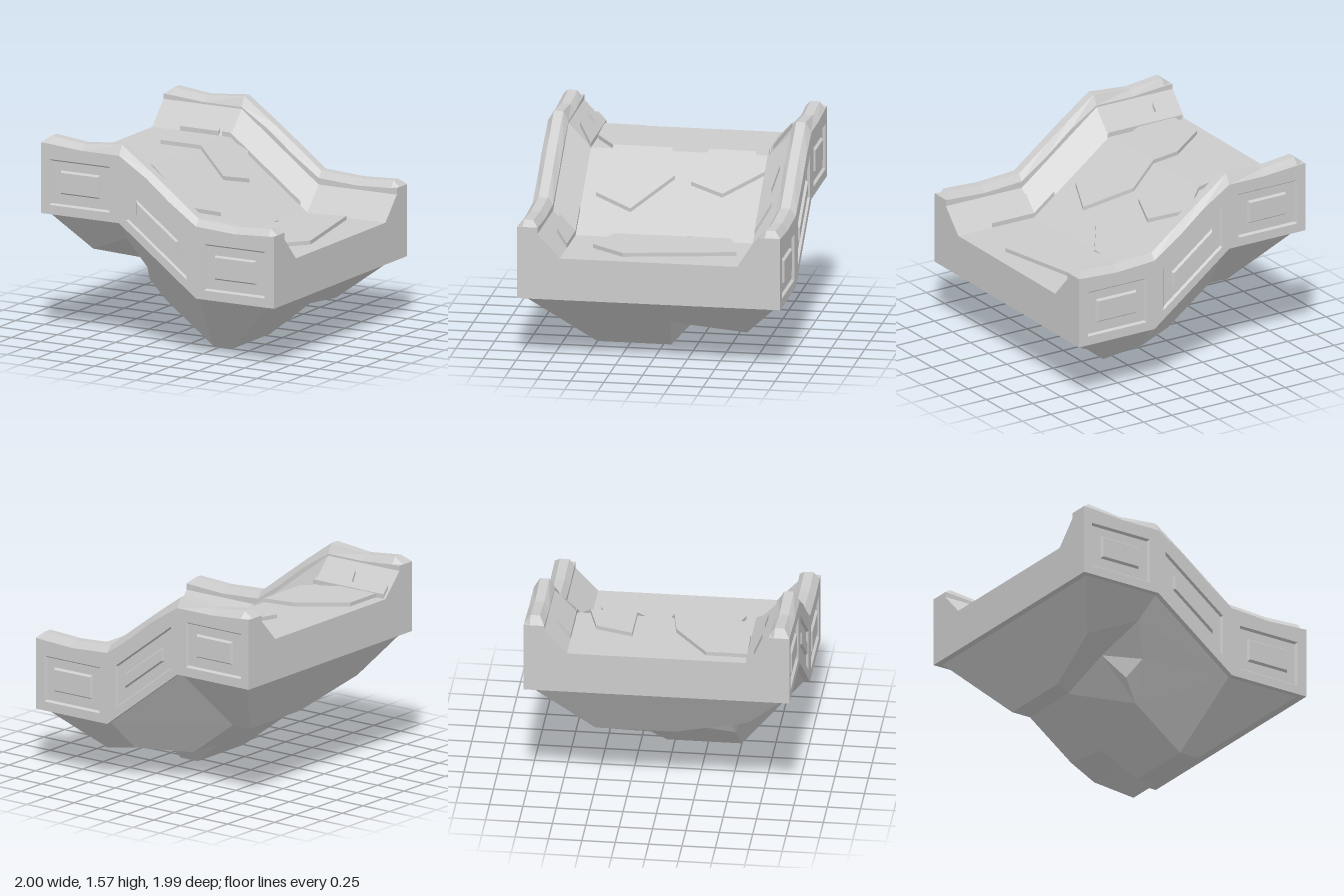
import * as THREE from 'three';

const material = new THREE.MeshStandardMaterial({ color: 0xcccccc, flatShading: true, side: THREE.DoubleSide });
const V = (x, y, z) => new THREE.Vector3(x, y, z);
const W = 0.995; // half depth

// Height of the underside: high level, ramp, low level
const base = x => 0.98 - 0.5 * THREE.MathUtils.clamp((x + 0.33) / 0.66, 0, 1);
// Walking surface, including the sloped curbs along both sides
const surface = (x, z) => base(x) + 0.32 + Math.max(0, Math.abs(z) - 0.67) * 1.06;

function meshOf(name, geometry) {
  const mesh = new THREE.Mesh(geometry, material);
  mesh.name = name;
  return mesh;
}

function fromTriangles(name, points) {
  const g = new THREE.BufferGeometry().setFromPoints(points);
  g.computeVertexNormals();
  return meshOf(name, g);
}

const quad = (out, a, b, c, d) => out.push(a, b, c, a, c, d);

// Fill a flat polygon, with every triangle turned away from the centre
const centre = V(-0.05, 0.62, 0);
function fill(out, pts) {
  const n = V(0, 0, 0);
  pts.forEach((p, i) => n.add(p.clone().cross(pts[(i + 1) % pts.length])));
  const ax = Math.abs(n.x), ay = Math.abs(n.y), az = Math.abs(n.z);
  const flat = pts.map(p => ax > ay && ax > az ? new THREE.Vector2(p.y, p.z)
    : ay > az ? new THREE.Vector2(p.x, p.z) : new THREE.Vector2(p.x, p.y));
  for (const [i, j, k] of THREE.ShapeUtils.triangulateShape(flat, [])) {
    const a = pts[i], b = pts[j], c = pts[k];
    const tn = b.clone().sub(a).cross(c.clone().sub(a));
    if (tn.dot(a.clone().sub(centre)) < 0) out.push(a, c, b);
    else out.push(a, b, c);
  }
}

// Stations along x: position, parapet shoulder height, parapet ridge height
const stations = [
  [-1, 1.52, 1.52], [-0.93, 1.517, 1.57], [-0.65, 1.495, 1.54], [-0.33, 1.495, 1.57], [-0.1, 1.35, 1.405],
  [0.1, 1.19, 1.255], [0.33, 1.03, 1.08], [0.66, 1.01, 1.06], [0.95, 1.025, 1.075], [1, 1.03, 1.03],
];

// Floor, curbs, parapets, underside and end faces
function deck() {
  const rings = stations.map(([x, e, t]) => {
    const b = base(x);
    const half = [[W, e], [0.95, t], [0.88, t], [0.84, e], [0.84, b + 0.5], [0.67, b + 0.32]];
    const other = half.map(([z, y]) => [-z, y]).reverse();
    return [...half, ...other, [-W, b], [W, b]].map(([z, y]) => V(x, y, z));
  });
  const out = [];
  for (let i = 0; i < rings.length - 1; i++) {
    for (let j = 0; j < 14; j++) {
      if (j === 11 || j === 13) continue; // side walls are separate
      const k = (j + 1) % 14;
      quad(out, rings[i][j], rings[i + 1][j], rings[i + 1][k], rings[i][k]);
    }
  }
  fill(out, rings[0]);
  fill(out, rings[rings.length - 1]);
  return fromTriangles('deck', out);
}

// Panels: x range, then heights above the underside (outer frame, inner block)
const panels = [
  { outer: [-0.93, -0.41, 0.07, 0.42], inner: [-0.84, -0.5, 0.16, 0.34] },
  { outer: [-0.27, 0.25, 0.075, 0.405], inner: [-0.19, 0.17, 0.18, 0.295] },
  { outer: [0.4, 0.92, 0.07, 0.425], inner: [0.48, 0.84, 0.16, 0.345] },
];
const corners = ([x0, x1, lo, hi], inset, z) => [
  V(x0 + inset, base(x0 + inset) + lo + inset, z), V(x1 - inset, base(x1 - inset) + lo + inset, z),
  V(x1 - inset, base(x1 - inset) + hi - inset, z), V(x0 + inset, base(x0 + inset) + hi - inset, z),
];

// Side wall with three sunken frames around raised blocks
function sideWall() {
  const group = new THREE.Group();
  const shape = new THREE.Shape([
    ...[-1, -0.33, 0.33, 1].map(x => new THREE.Vector2(x, base(x))),
    ...stations.map(([x, e]) => new THREE.Vector2(x, e)).reverse(),
  ]);
  const out = [];
  for (const { outer, inner } of panels) {
    const loops = [corners(outer, 0, W), corners(outer, 0.013, W - 0.02),
      corners(inner, 0, W - 0.02), corners(inner, 0.013, W)];
    shape.holes.push(new THREE.Path(loops[0].map(p => new THREE.Vector2(p.x, p.y))));
    for (let k = 0; k < 3; k++) {
      for (let j = 0; j < 4; j++) {
        const n = (j + 1) % 4;
        quad(out, loops[k][j], loops[k][n], loops[k + 1][n], loops[k + 1][j]);
      }
    }
    quad(out, ...loops[3]);
  }
  const wall = meshOf('wallFace', new THREE.ShapeGeometry(shape));
  wall.position.z = W;
  group.add(wall, fromTriangles('wallPanels', out));
  return group;
}

// Tapered rock below the deck, with two broken corners
function rock() {
  const p = [];
  const rim = [[-0.95, 0.98], [-0.33, 0.98], [0.33, 0.48], [0.94, 0.48]];
  const keel = [[-0.63, 0.5], [-0.47, 0.5], [0.2, 0], [0.36, 0]];
  for (const [row, z] of [[rim, 0.95], [rim, -0.95], [keel, 0.5], [keel, -0.5]])
    row.forEach(([x, y]) => p.push(V(x, y, z)));
  // front break: 16-22 around its apex 23
  p.push(V(-0.743, 0.67, 0.66), V(-0.377, 0.82, 0.8), V(-0.26, 0.58, 0.68), V(-0.32, 0.46, 0.55),
    V(-0.2, 0.2985, 0.5), V(-0.47, 0.5, 0), V(-0.63, 0.5, 0.1), V(-0.45, 0.66, 0.42));
  // back break: 24-30 around its apex 31
  p.push(V(0.578, 0.18, -0.67), V(0.674, 0.26, -0.11), V(0.36, 0, -0.06), V(0.2, 0, -0.06),
    V(-0.07, 0.2, -0.15), V(-0.1, 0.224, -0.5), V(0.268, 0.25, -0.734), V(0.3, 0.32, -0.35));
  const faces = [
    [0, 1, 17, 16], [1, 2, 10, 20, 19, 18, 17], [2, 3, 11, 10], [0, 16, 22, 12, 4], [22, 21, 13, 12],
    [20, 10, 27, 28, 29, 13, 21], [3, 7, 24, 25, 26, 11], [6, 7, 24, 30], [5, 6, 30, 29, 13],
    [4, 5, 13, 12], [10, 11, 26, 27],
  ];
  for (const [first, apex] of [[16, 23], [24, 31]])
    for (let i = 0; i < 7; i++) faces.push([first + i, first + (i + 1) % 7, apex]);
  const out = [];
  faces.forEach(f => fill(out, f.map(i => p[i])));
  return fromTriangles('rockBase', out);
}

// Keep the part of an outline on one side of x = limit
function clip(pts, limit, side) {
  const out = [];
  pts.forEach((a, i) => {
    const b = pts[(i + 1) % pts.length];
    const da = (a[0] - limit) * side, db = (b[0] - limit) * side;
    if (da >= 0) out.push(a);
    if (da * db < 0) out.push([limit, a[1] + (b[1] - a[1]) * da / (da - db)]);
  });
  return out;
}

// Broken paving plate, cut at the bends and laid on the surface
function plate(name, outline, height) {
  const group = new THREE.Group();
  group.name = name;
  for (const [lo, hi] of [[-1, -0.33], [-0.33, 0.33], [0.33, 1]]) {
    const pts = clip(clip(outline, lo, 1), hi, -1);
    if (pts.length < 3) continue;
    const shape = new THREE.Shape(pts.map(([x, z]) => new THREE.Vector2(x, -z)));
    const g = new THREE.ExtrudeGeometry(shape, { depth: height + 0.02, bevelEnabled: false });
    const pos = g.attributes.position;
    for (let i = 0; i < pos.count; i++) {
      const x = pos.getX(i), z = -pos.getY(i);
      pos.setXYZ(i, x, surface(x, z) - 0.02 + pos.getZ(i), z);
    }
    g.computeVertexNormals();
    group.add(meshOf(name + 'Part', g));
  }
  return group;
}

export function createModel() {
  const model = new THREE.Group();
  model.name = 'slopedWalkway';
  model.add(deck(), rock());

  const front = sideWall(), back = sideWall();
  front.name = 'frontWall';
  back.name = 'backWall';
  back.scale.z = -1;
  model.add(front, back);

  // Plates on the floor
  model.add(
    plate('upperPlate', [[-0.58, -0.5], [-0.33, -0.57], [-0.18, -0.67], [0, -0.38], [-0.08, -0.13], [-0.32, -0.22], [-0.67, -0.22]], 0.03),
    plate('middlePlate', [[-0.91, 0.36], [-0.57, 0.1], [-0.35, 0.06], [-0.12, 0], [0.14, 0.29], [0.03, 0.57], [-0.32, 0.5], [-0.58, 0.66], [-0.91, 0.67]], 0.03),
    plate('lowerPlate', [[0.27, -0.47], [0.4, -0.53], [0.7, -0.61], [0.87, 0.22], [0.66, 0.48], [0.34, 0.38], [0.18, 0.05], [0.35, -0.19]], 0.03),
  );
  // Plates on the sloped curbs
  model.add(
    plate('frontCurbPlateHigh', [[-0.98, 0.67], [-0.32, 0.67], [-0.48, 0.78], [-0.64, 0.77], [-0.66, 0.7], [-0.78, 0.72], [-0.78, 0.77], [-0.98, 0.73]], 0.035),
    plate('frontCurbPlateLow', [[0.15, 0.67], [0.7, 0.67], [0.62, 0.76], [0.35, 0.79]], 0.035),
    plate('backCurbPlateHigh', [[-0.76, -0.67], [-0.73, -0.78], [-0.43, -0.69], [-0.43, -0.67]], 0.035),
    plate('backCurbPlateLow', [[-0.4, -0.67], [-0.26, -0.69], [-0.1, -0.8], [0.04, -0.76], [0.17, -0.78], [0.27, -0.67]], 0.035),
  );
  return model;
}
